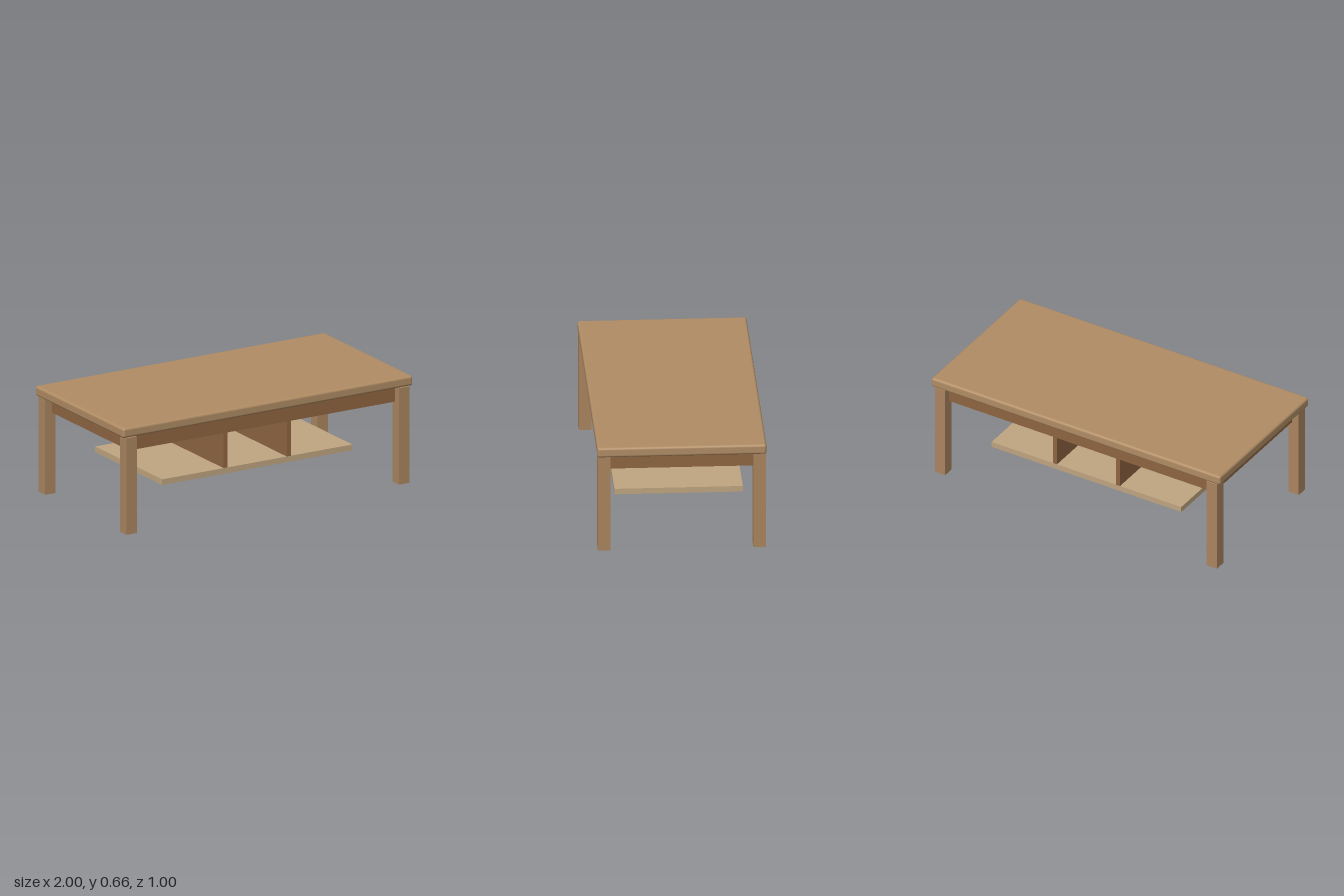
import * as THREE from 'three';
import { RoundedBoxGeometry } from 'three/addons/geometries/RoundedBoxGeometry.js';

const wood = (color) => new THREE.MeshStandardMaterial({ color });

export function createModel() {
  const table = new THREE.Group();
  table.name = 'coffeeTable';

  const topWood = wood(0xb08c64);
  const legWood = wood(0xaa8560);
  const darkWood = wood(0x8f6541);
  const paleWood = wood(0xc0a580);

  const add = (name, geometry, material, x, y, z) => {
    const mesh = new THREE.Mesh(geometry, material);
    mesh.name = name;
    mesh.position.set(x, y, z);
    table.add(mesh);
  };

  // Tabletop with softened edges
  add('tabletop', new RoundedBoxGeometry(2, 0.061, 0.998, 4, 0.015), topWood, 0, 0.628, 0);

  // Four square legs
  const legGeometry = new THREE.BoxGeometry(0.071, 0.595, 0.073);
  for (const x of [-1, 1]) {
    for (const z of [-1, 1]) {
      const name = (z > 0 ? 'front' : 'back') + (x > 0 ? 'Left' : 'Right') + 'Leg';
      add(name, legGeometry, legWood, x * 0.9405, 0.2975, z * 0.4585);
    }
  }

  // Solid apron, just below the tabletop
  add('apron', new THREE.BoxGeometry(1.86, 0.086, 0.9), darkWood, 0, 0.544, 0);

  // Hanging shelf and the two dividers that carry it
  add('shelf', new THREE.BoxGeometry(1.312, 0.035, 0.757), paleWood, -0.002, 0.241, 0);
  const dividerGeometry = new THREE.BoxGeometry(0.028, 0.243, 0.757);
  add('rightDivider', dividerGeometry, darkWood, -0.22, 0.38, 0);
  add('leftDivider', dividerGeometry, darkWood, 0.216, 0.38, 0);

  return table;
}
